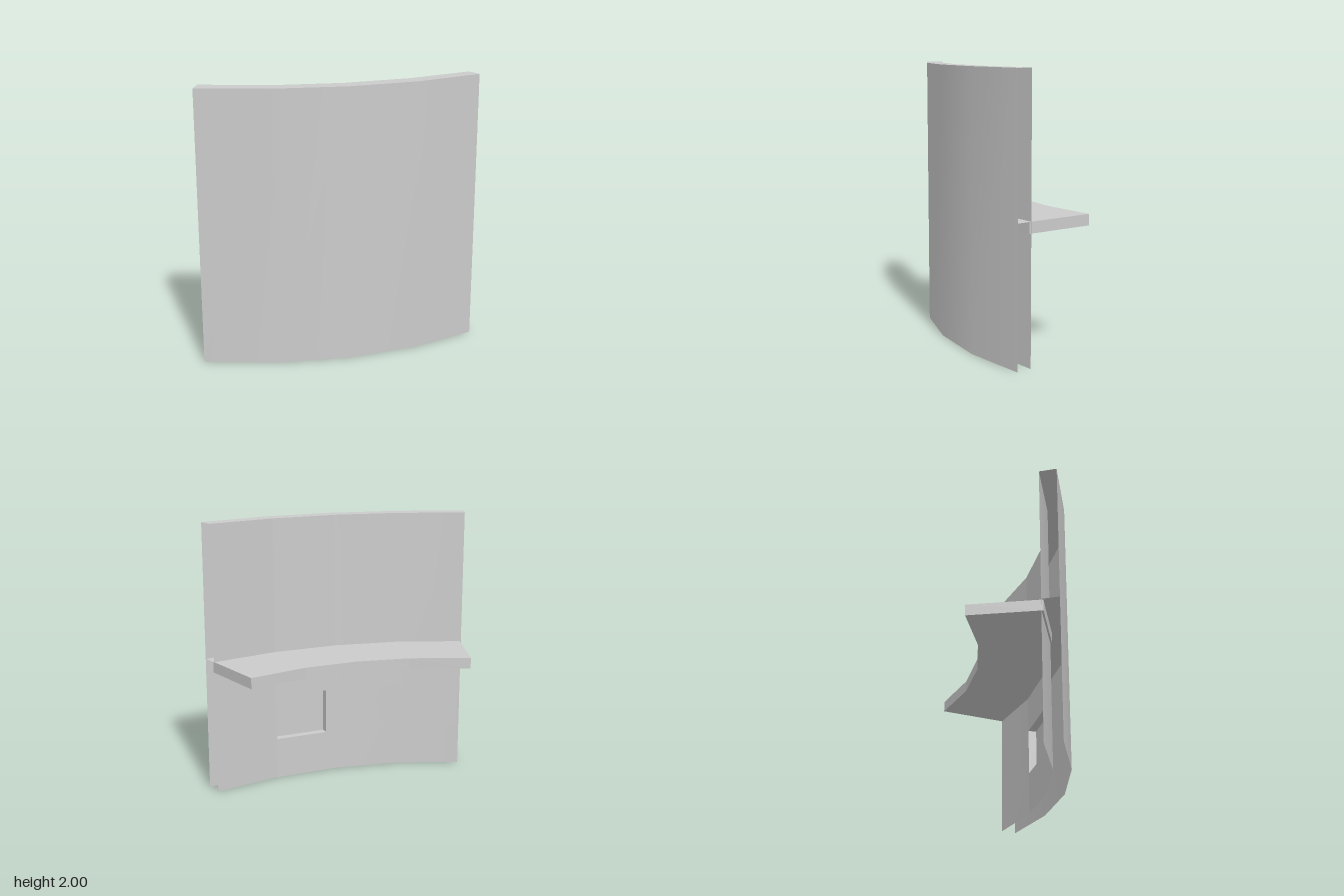
import * as THREE from 'three';

const material = new THREE.MeshStandardMaterial({ color: 0xcccccc, side: THREE.DoubleSide });

// Plan curves as [x, z]
const outer = [[-0.92, 0.625], [-0.4, 0.57], [0.1, 0.42], [0.56, 0.175], [0.963, -0.155]];
const inner = [[-0.92, 0.5], [-0.42, 0.45], [0.05, 0.305], [0.49, 0.07], [0.885, -0.24]];
const shelfFront = [[-0.908, 0.512], [-0.42, 0.462], [0.05, 0.317], [0.49, 0.082], [0.894, -0.227]];
const shelfBack = [[-0.97, 0], [-0.52, -0.04], [-0.14, -0.155], [0.215, -0.345], [0.56, -0.63]];

// Upright sheet along a plan path; a path running to +x faces +z
function sheet(path, rows, flat = false, isHole = () => false) {
  const positions = [], index = [], n = path.length;
  for (const y of rows) for (const [x, z] of path) positions.push(x, y, z);
  for (let j = 0; j < rows.length - 1; j++) {
    for (let i = 0; i < n - 1; i++) {
      if (isHole(i, j)) continue;
      const a = j * n + i, b = a + 1, c = b + n, d = a + n;
      index.push(a, b, c, a, c, d);
    }
  }
  let geometry = new THREE.BufferGeometry();
  geometry.setAttribute('position', new THREE.Float32BufferAttribute(positions, 3));
  geometry.setIndex(index);
  if (flat) geometry = geometry.toNonIndexed();
  geometry.computeVertexNormals();
  return geometry;
}

const planShape = (points) => new THREE.Shape(points.map(([x, z]) => new THREE.Vector2(x, -z)));
const between = (front, back) => [...front, ...[...back].reverse()];

// Horizontal sheet or slab with its base at height y
function plate(points, y, thickness = 0) {
  const shape = planShape(points);
  const geometry = thickness
    ? new THREE.ExtrudeGeometry(shape, { depth: thickness, bevelEnabled: false })
    : new THREE.ShapeGeometry(shape);
  return geometry.rotateX(-Math.PI / 2).translate(0, y, 0);
}

export function createModel() {
  const model = new THREE.Group();
  const add = (name, geometry, parent = model) => {
    const mesh = new THREE.Mesh(geometry, material);
    mesh.name = name;
    parent.add(mesh);
  };

  // Hollow curved wall, open at the ends and the bottom
  add('frontPanel', sheet(outer, [0, 2]));
  add('topCap', plate(between(outer, inner), 2));
  add('middleWeb', plate(between(outer, inner), 1));

  // Rear panel with an opening for the niche
  const along = (t) => [0, 1].map((k) => inner[2][k] + (inner[3][k] - inner[2][k]) * t);
  const near = along(0.15), far = along(0.97);
  const low = 0.31, high = 0.65;
  const rearPath = [...inner.slice(0, 3), near, far, ...inner.slice(3)].reverse();
  add('rearPanel', sheet(rearPath, [0, low, high, 2], false, (i, j) => i === 2 && j === 1));

  // Recessed niche
  const niche = new THREE.Group();
  niche.name = 'niche';
  model.add(niche);
  const depth = 0.06;
  const inward = ([x, z]) => [x + 0.471 * depth, z + 0.882 * depth];
  const nichePath = [far, inward(far), inward(near), near];
  add('nicheWalls', sheet(nichePath, [low, high], true), niche);
  add('nicheFloor', plate(nichePath, low), niche);
  add('nicheCeiling', plate(nichePath, high).scale(1, 1, 1), niche);

  // Curved shelf set into the rear panel
  add('shelf', plate(between(shelfFront, shelfBack), 0.92, 0.08));

  return model;
}
